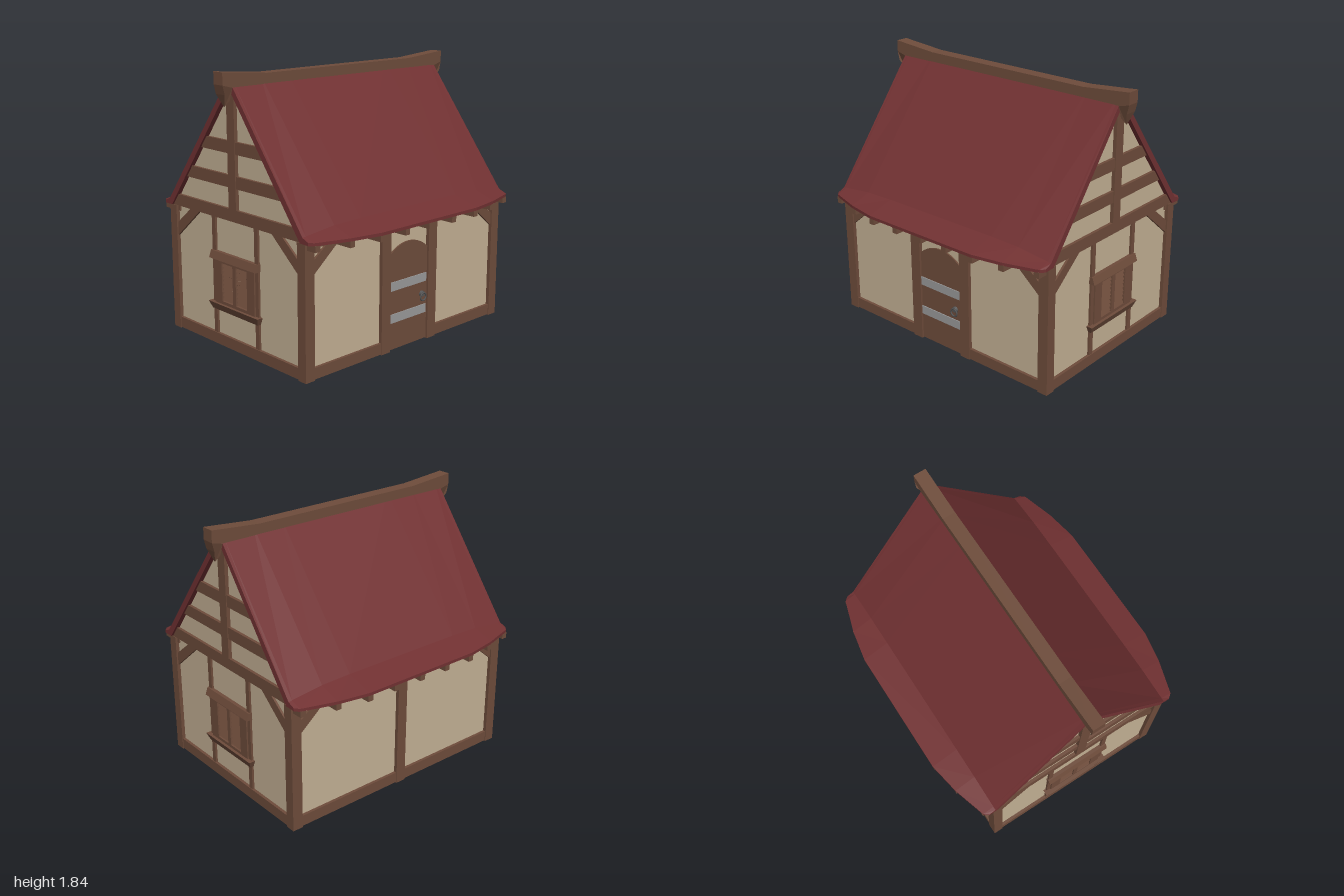
import * as THREE from 'three';

const mat = (name, color) => {
  const m = new THREE.MeshStandardMaterial({ color });
  m.name = name;
  return m;
};

export function createModel() {
  const plaster = mat('plaster', 0xc3b094);
  const wood = mat('timber', 0x6e4c3b);
  const red = mat('roofRed', 0x713132);
  const steel = mat('steel', 0x9a9a9a);
  const iron = mat('darkIron', 0x555555);
  red.side = THREE.DoubleSide;

  const model = new THREE.Group();
  model.name = 'cottage';

  const add = (parent, name, geo, material) => {
    const m = new THREE.Mesh(geo, material);
    m.name = name;
    parent.add(m);
    return m;
  };
  // box given by its limits
  const box = (parent, name, material, x0, x1, y0, y1, z0, z1) => {
    const m = add(parent, name, new THREE.BoxGeometry(x1 - x0, y1 - y0, z1 - z0), material);
    m.position.set((x0 + x1) / 2, (y0 + y1) / 2, (z0 + z1) / 2);
    return m;
  };
  // flat outline extruded between z0 and z1
  const plate = (parent, name, material, pts, z0, z1) => {
    const s = new THREE.Shape(pts.map(p => new THREE.Vector2(p[0], p[1])));
    const g = new THREE.ExtrudeGeometry(s, { depth: z1 - z0, bevelEnabled: false });
    g.translate(0, 0, z0);
    return add(parent, name, g, material);
  };
  // a wall is built facing +z, then turned into place
  const wall = (name, turn) => {
    const g = new THREE.Group();
    g.name = name;
    g.rotation.y = turn;
    model.add(g);
    return g;
  };

  // corner posts
  for (const sx of [-1, 1]) for (const sz of [-1, 1]) {
    box(model, 'cornerPost', wood, sx * 0.8775 - 0.0375, sx * 0.8775 + 0.0375, 0, 0.88,
      sz * 0.655 - 0.035, sz * 0.655 + 0.035);
  }

  // long walls: front and back
  const tailX = [-0.88, -0.66, -0.44, -0.22, 0, 0.22, 0.44, 0.66, 0.88];
  const eaveZ = x => {
    const a = Math.abs(x);
    if (a <= 0.45) return 0.87;
    if (a <= 0.67) return 0.87 - (a - 0.45) / 0.22 * 0.04;
    if (a <= 0.9) return 0.83 - (a - 0.67) / 0.23 * 0.07;
    return 0.76 - (a - 0.9) / 0.025 * 0.03;
  };
  const longWall = (name, turn) => {
    const g = wall(name, turn);
    box(g, 'wallPanel', plaster, -0.86, 0.86, 0.03, 0.88, 0.645, 0.665);
    box(g, 'topPlate', wood, -0.84, 0.84, 0.84, 0.88, 0.625, 0.685);
    for (const s of [-1, 1]) {
      const pts = [[0.84, 0.67], [0.84, 0.76], [0.73, 0.845], [0.63, 0.845]].map(p => [s * p[0], p[1]]);
      plate(g, 'cornerBrace', wood, pts, 0.635, 0.68);
    }
    for (const x of tailX) box(g, 'rafterTail', wood, x - 0.02, x + 0.02, 0.84, 0.882, 0.6, eaveZ(x) - 0.002);
    return g;
  };

  const front = longWall('frontWall', 0);
  for (const s of [-1, 1]) {
    box(front, 'doorPost', wood, s * 0.22 - 0.04, s * 0.22 + 0.04, 0, 0.88, 0.62, 0.69);
    box(front, 'sillBeam', wood, s * 0.55 - 0.29, s * 0.55 + 0.29, 0.005, 0.08, 0.625, 0.685);
  }
  const back = longWall('backWall', Math.PI);
  box(back, 'middlePost', wood, -0.0375, 0.0375, 0, 0.88, 0.62, 0.69);
  box(back, 'sillBeam', wood, -0.84, 0.84, 0.005, 0.08, 0.625, 0.685);

  // arched door with bands and ring handle
  const arch = [[-0.18, 0.005], [0.18, 0.005]];
  for (let i = 0; i <= 12; i++) {
    const x = 0.18 - 0.03 * i;
    arch.push([x, 0.455 + Math.sqrt(0.265 ** 2 - x * x)]);
  }
  plate(front, 'door', wood, arch, 0.635, 0.676);
  for (const y of [0.19, 0.41]) box(front, 'doorBand', steel, -0.18, 0.17, y, y + 0.06, 0.674, 0.682);
  const boss = add(front, 'handlePlate', new THREE.CylinderGeometry(0.018, 0.022, 0.018, 10), iron);
  boss.rotation.x = Math.PI / 2;
  boss.position.set(0.13, 0.328, 0.684);
  add(front, 'handleRing', new THREE.TorusGeometry(0.026, 0.006, 6, 16), iron).position.set(0.13, 0.31, 0.694);

  // gable walls with framing and shuttered window
  const halfWidth = y => 0.63 - (y - 0.96) * 0.775;
  const gableWall = (name, turn) => {
    const g = wall(name, turn);
    plate(g, 'gablePanel', plaster,
      [[-0.64, 0.03], [0.64, 0.03], [0.64, 0.9], [0, 1.75], [-0.64, 0.9]], 0.87, 0.89);
    box(g, 'sillBeam', wood, -0.62, 0.62, 0.005, 0.08, 0.85, 0.91);
    for (const [y0, y1] of [[0.88, 0.96], [1.1, 1.18], [1.32, 1.4]]) {
      const a = halfWidth(y0), b = halfWidth(y1);
      plate(g, 'gableBeam', wood, [[-a, y0], [a, y0], [b, y1], [-b, y1]], 0.85, 0.91);
    }
    box(g, 'kingPost', wood, -0.0375, 0.0375, 0.96, 1.72, 0.845, 0.915);
    for (const s of [-1, 1]) {
      box(g, 'stud', wood, s * 0.2175 - 0.0175, s * 0.2175 + 0.0175, 0.08, 0.88, 0.855, 0.905);
      const pts = [[0.62, 0.67], [0.62, 0.76], [0.47, 0.88], [0.37, 0.88]].map(p => [s * p[0], p[1]]);
      plate(g, 'cornerBrace', wood, pts, 0.86, 0.905);

      // shutter frame and tilted slats
      const strip = (x0, x1, y0, y1) =>
        box(g, 'shutterFrame', wood, Math.min(s * x0, s * x1), Math.max(s * x0, s * x1), y0, y1, 0.885, 0.915);
      strip(0.13, 0.205, 0.3, 0.6);
      strip(0, 0.016, 0.3, 0.6);
      strip(0.016, 0.13, 0.58, 0.6);
      strip(0.016, 0.13, 0.3, 0.32);
      for (let i = 0; i < 9; i++) {
        const slat = box(g, 'shutterSlat', wood, s * 0.073 - 0.058, s * 0.073 + 0.058, 0, 0.026, 0.897, 0.903);
        slat.position.y = 0.336 + i * 0.0285;
        slat.rotation.x = -0.5;
        slat.rotation.z = s * (i % 3 - 1) * 0.03;
      }
    }
    // lintel slopes outward below, sill slopes outward above
    const ledge = (ledgeName, y0, y1, topW, botW, topZ, botZ) => {
      const geo = new THREE.BoxGeometry(2, 2, 2), p = geo.attributes.position;
      for (let i = 0; i < p.count; i++) {
        const up = p.getY(i) > 0;
        p.setXYZ(i, p.getX(i) * (up ? topW : botW), up ? y1 : y0, p.getZ(i) > 0 ? (up ? topZ : botZ) : 0.88);
      }
      geo.computeVertexNormals();
      add(g, ledgeName, geo, wood);
    };
    ledge('windowLintel', 0.6, 0.65, 0.24, 0.24, 0.915, 0.932);
    ledge('windowSill', 0.25, 0.3, 0.255, 0.235, 0.935, 0.915);
  };
  gableWall('leftGable', Math.PI / 2);
  gableWall('rightGable', -Math.PI / 2);

  // roof: one folded section lofted along x, with flared, bowed eaves
  const stations = [[-0.925, 0.92], [-0.9, 0.924], [-0.67, 0.95], [-0.45, 0.955],
    [0.45, 0.955], [0.67, 0.95], [0.9, 0.924], [0.925, 0.92]];
  const rings = stations.map(([x, breakY]) => {
    const e = eaveZ(x);
    const ring = [[e, 0.9], [0.68, breakY], [0, 1.8], [-0.68, breakY], [-e, 0.9],
      [-e, 0.88], [-0.655, 0.882], [0, 1.74], [0.655, 0.882], [e, 0.88]];
    return ring.map(([z, y]) => [x, y, z]);
  });
  const pos = [];
  const quad = (a, b, c, d) => pos.push(...a, ...b, ...c, ...a, ...c, ...d);
  for (let i = 0; i < rings.length - 1; i++) for (let j = 0; j < 10; j++) {
    const k = (j + 1) % 10, A = rings[i], B = rings[i + 1];
    quad(A[j], B[j], B[k], A[k]);
  }
  const L = rings[0], R = rings[rings.length - 1];
  for (let j = 0; j < 4; j++) {
    quad(L[j], L[j + 1], L[8 - j], L[9 - j]);
    quad(R[j], R[9 - j], R[8 - j], R[j + 1]);
  }
  const roofGeo = new THREE.BufferGeometry();
  roofGeo.setAttribute('position', new THREE.Float32BufferAttribute(pos, 3));
  roofGeo.computeVertexNormals();
  add(model, 'roof', roofGeo, red);

  // ridge beam with raised ends and pointed hooks
  const half = [[0.65, 1.81], [1, 1.84], [1, 1.76], [0.985, 1.7], [0.958, 1.62], [0.93, 1.66], [0.925, 1.74]];
  const outline = [...half, ...half.map(([x, y]) => [-x, y]).reverse()];
  const ridge = plate(model, 'ridgeBeam', wood, outline, -0.045, 0.045);
  const rp = ridge.geometry.attributes.position;
  for (let i = 0; i < rp.count; i++) {
    rp.setZ(i, rp.getZ(i) * THREE.MathUtils.clamp((rp.getY(i) - 1.62) / 0.08, 0.05, 1));
  }
  ridge.geometry.computeVertexNormals();

  return model;
}
